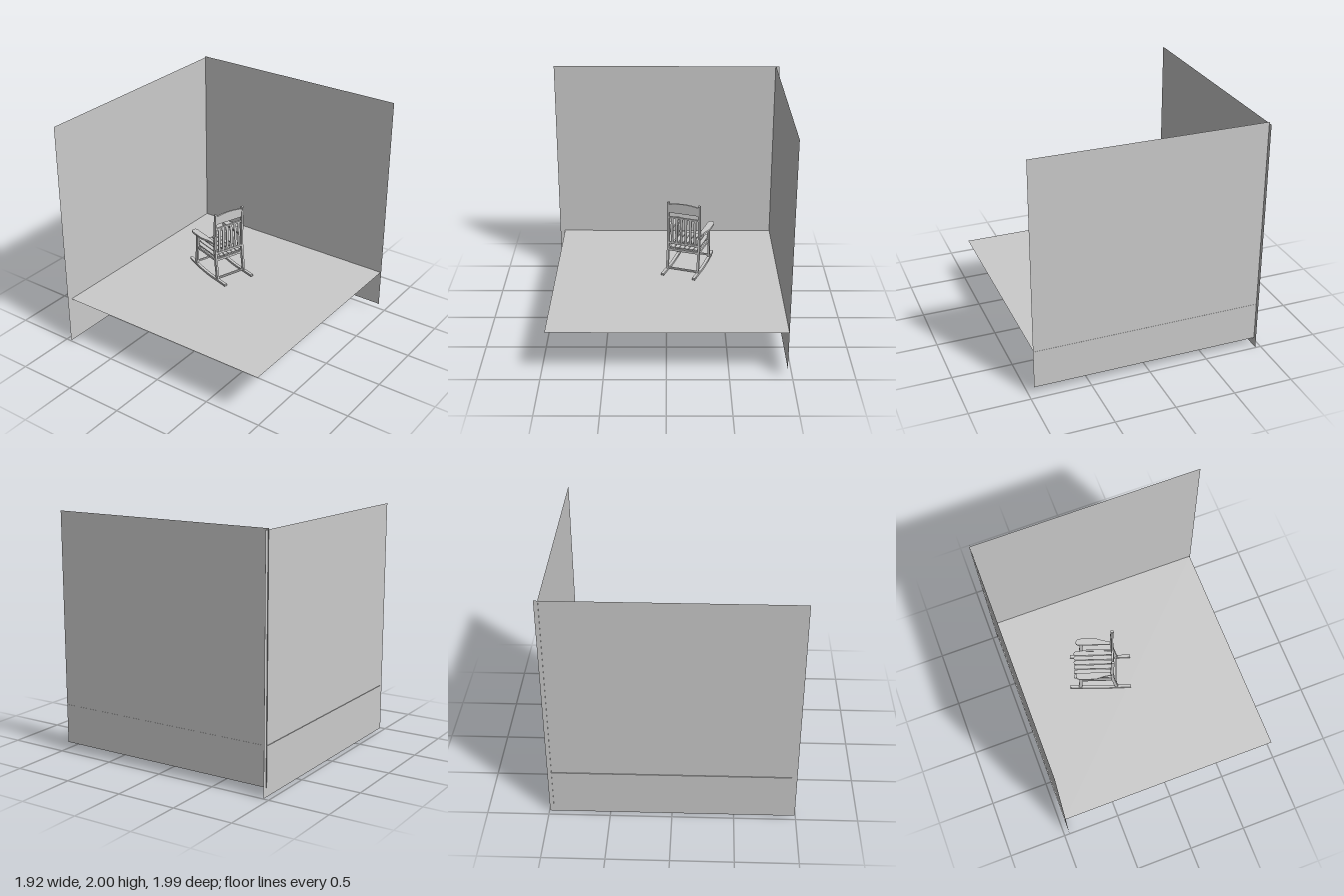
import * as THREE from 'three';

const material = new THREE.MeshStandardMaterial({ color: 0xcccccc });
const sheetMaterial = new THREE.MeshStandardMaterial({ color: 0xcccccc, side: THREE.DoubleSide });

function add(parent, name, geometry, mat = material) {
  const mesh = new THREE.Mesh(geometry, mat);
  mesh.name = name;
  parent.add(mesh);
  return mesh;
}

function box(parent, name, size, position) {
  const mesh = add(parent, name, new THREE.BoxGeometry(...size));
  mesh.position.set(...position);
  return mesh;
}

// Side profile swept along [z, y] points, thickened by (dz, dy), extruded across x
function sideBar(parent, name, points, dz, dy, width, x) {
  const outline = [
    ...points.map(([z, y]) => new THREE.Vector2(z - dz / 2, y - dy / 2)),
    ...points.map(([z, y]) => new THREE.Vector2(z + dz / 2, y + dy / 2)).reverse(),
  ];
  const geometry = new THREE.ExtrudeGeometry(new THREE.Shape(outline), { depth: width, bevelEnabled: false });
  geometry.translate(0, 0, -width / 2).rotateY(-Math.PI / 2);
  const mesh = add(parent, name, geometry);
  mesh.position.x = x;
  return mesh;
}

// Flat board drawn in plan (x, z), with its underside at y
function planBoard(parent, name, shape, thickness, x, y) {
  const geometry = new THREE.ExtrudeGeometry(shape, { depth: thickness, bevelEnabled: false, curveSegments: 8 });
  geometry.rotateX(Math.PI / 2).translate(0, thickness, 0);
  const mesh = add(parent, name, geometry);
  mesh.position.set(x, y, 0);
  return mesh;
}

function smooth(points, n) {
  const curve = new THREE.SplineCurve(points.map((p) => new THREE.Vector2(...p)));
  return curve.getPoints(n).map((p) => [p.x, p.y]);
}

function createChair() {
  const chair = new THREE.Group();
  chair.name = 'rockingChair';

  const rocker = smooth([[-0.267, 0.42], [-0.15, 0.416], [-0.05, 0.411], [0.05, 0.414], [0.16, 0.425], [0.267, 0.443]], 20);
  const rearPost = smooth([[-0.142, 0.418], [-0.114, 0.62], [-0.107, 0.76], [-0.118, 1.035]], 12);

  for (const s of [-1, 1]) {
    sideBar(chair, 'rocker', rocker, 0, 0.018, 0.026, s * 0.14);
    sideBar(chair, 'rearPost', rearPost, 0.027, 0, 0.018, s * 0.138);
    sideBar(chair, 'frontLeg', [[0.178, 0.425], [0.154, 0.748]], 0.028, 0, 0.018, s * 0.14);
    sideBar(chair, 'sideApron', [[-0.115, 0.595], [0.165, 0.595]], 0, 0.02, 0.014, s * 0.136);

    // Armrest: broad and rounded in front, tapering to the rear post
    const arm = new THREE.Shape();
    arm.moveTo(s * 0.128, -0.105);
    arm.lineTo(s * 0.128, 0.175);
    arm.quadraticCurveTo(s * 0.13, 0.203, s * 0.155, 0.203);
    arm.quadraticCurveTo(s * 0.187, 0.2, s * 0.187, 0.15);
    arm.lineTo(s * 0.187, 0.05);
    arm.bezierCurveTo(s * 0.187, 0, s * 0.158, -0.02, s * 0.156, -0.105);
    planBoard(chair, 'armrest', arm, 0.016, 0, 0.748);
  }

  // Seat slats with rounded front ends
  for (let i = 0; i < 6; i++) {
    const w = 0.018;
    const slat = new THREE.Shape();
    slat.moveTo(-w, -0.108);
    slat.lineTo(w, -0.108);
    slat.lineTo(w, 0.212);
    slat.quadraticCurveTo(w, 0.227, 0, 0.227);
    slat.quadraticCurveTo(-w, 0.227, -w, 0.212);
    planBoard(chair, 'seatSlat', slat, 0.011, (i - 2.5) * 0.042, 0.605);
  }

  // Cross rails and stretchers
  box(chair, 'frontApron', [0.27, 0.02, 0.014], [0, 0.595, 0.163]);
  box(chair, 'rearApron', [0.27, 0.02, 0.014], [0, 0.595, -0.117]);
  box(chair, 'frontStretcher', [0.27, 0.014, 0.014], [0, 0.449, 0.176]);
  box(chair, 'rearStretcher', [0.27, 0.014, 0.014], [0, 0.429, -0.14]);
  box(chair, 'lowerBackRail', [0.265, 0.018, 0.016], [0, 0.658, -0.112]);
  box(chair, 'upperBackRail', [0.265, 0.014, 0.016], [0, 0.896, -0.113]);

  // Gently bowed back slats
  const bow = smooth([[-0.112, 0.66], [-0.119, 0.74], [-0.121, 0.81], [-0.113, 0.896]], 8);
  for (let i = 0; i < 6; i++) {
    sideBar(chair, 'backSlat', bow, 0.009, 0, 0.022, (i - 2.5) * 0.041);
  }

  // Crest board with an arched top edge
  const crest = new THREE.Shape();
  crest.moveTo(-0.132, 0.942);
  crest.lineTo(0.132, 0.942);
  crest.lineTo(0.132, 1.016);
  crest.quadraticCurveTo(0, 1.046, -0.132, 1.016);
  const crestGeometry = new THREE.ExtrudeGeometry(crest, { depth: 0.014, bevelEnabled: false });
  add(chair, 'crestBoard', crestGeometry).position.z = -0.123;

  chair.position.set(-0.2145, 0, -0.184);
  chair.rotation.y = THREE.MathUtils.degToRad(-109.2);
  return chair;
}

export function createModel() {
  const model = new THREE.Group();
  model.name = 'chairInRoomCorner';

  // Floor and two walls, all thin sheets
  const floor = add(model, 'floor', new THREE.PlaneGeometry(1.915, 1.915).rotateX(-Math.PI / 2), sheetMaterial);
  floor.position.set(-0.003, 0.4, -0.005);
  const backWall = add(model, 'backWall', new THREE.PlaneGeometry(1.92, 1.925), sheetMaterial);
  backWall.position.set(0, 1.0375, -0.961);
  const sideWall = add(model, 'sideWall', new THREE.PlaneGeometry(1.99, 1.99).rotateY(Math.PI / 2), sheetMaterial);
  sideWall.position.set(-0.954, 0.995, 0);

  model.add(createChair());
  return model;
}
